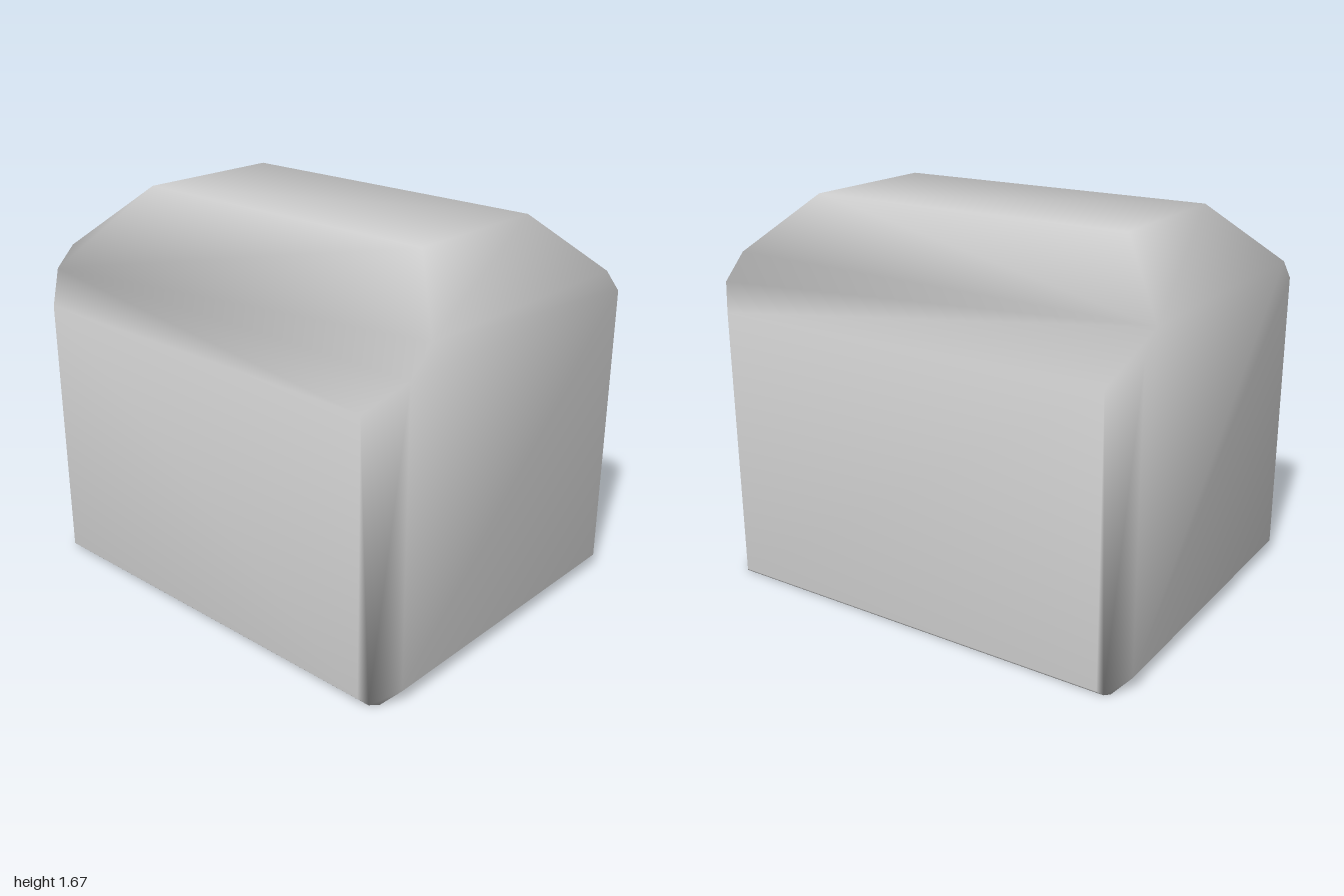
import * as THREE from 'three';

// Each plane is [nx, ny, nz, d]: the solid keeps nx*x + ny*y + nz*z <= d
const PLANES = [
  // main faces: sides, top, bottom, front, back
  [1, 0, 0, 1], [-1, 0, 0, 1], [0, 1, 0, 1.67], [0, -1, 0, 0], [0, 0, 1, 0.8], [0, 0, -1, 0.8],
  // wide bevels round the top
  [1, 1, 0, 2.43], [-1, 1, 0, 2.41], [0, 1, 1, 2.0], [0, 1, -1, 2.02],
  // narrow bevels down the upright edges
  [1, 0, 1, 1.68], [-1, 0, 1, 1.68], [1, 0, -1, 1.7], [-1, 0, -1, 1.7],
  // thin bevels round the base
  [1, -1, 0, 0.94], [-1, -1, 0, 0.94], [0, -1, 1, 0.77], [0, -1, -1, 0.78],
].map(([x, y, z, d]) => {
  const n = new THREE.Vector3(x, y, z);
  const len = n.length();
  return { n: n.divideScalar(len), d: d / len };
});

// Corners of the solid: points where three planes meet and no plane cuts them off
function findCorners(planes) {
  const corners = [];
  for (let i = 0; i < planes.length; i++)
    for (let j = i + 1; j < planes.length; j++)
      for (let k = j + 1; k < planes.length; k++) {
        const [a, b, c] = [planes[i], planes[j], planes[k]];
        const bc = b.n.clone().cross(c.n);
        const det = a.n.dot(bc);
        if (Math.abs(det) < 1e-6) continue;
        const p = bc.multiplyScalar(a.d)
          .addScaledVector(c.n.clone().cross(a.n), b.d)
          .addScaledVector(a.n.clone().cross(b.n), c.d)
          .divideScalar(det);
        if (planes.some((q) => q.n.dot(p) > q.d + 1e-5)) continue;
        if (!corners.some((q) => q.distanceTo(p) < 1e-4)) corners.push(p);
      }
  return corners;
}

// Fan-fills every face and blends the normals at each corner by face area
function bevelledSolid(planes) {
  const corners = findCorners(planes);
  const normals = corners.map(() => new THREE.Vector3());
  const index = [];
  for (const { n, d } of planes) {
    const ring = corners.map((_, i) => i).filter((i) => Math.abs(n.dot(corners[i]) - d) < 1e-4);
    if (ring.length < 3) continue;
    const centre = new THREE.Vector3();
    ring.forEach((i) => centre.addScaledVector(corners[i], 1 / ring.length));
    const u = corners[ring[0]].clone().sub(centre).normalize();
    const v = n.clone().cross(u);
    const angle = (i) => {
      const r = corners[i].clone().sub(centre);
      return Math.atan2(r.dot(v), r.dot(u));
    };
    ring.sort((a, b) => angle(a) - angle(b));
    let area = 0;
    for (let i = 1; i < ring.length - 1; i++) {
      const [a, b, c] = [ring[0], ring[i], ring[i + 1]];
      index.push(a, b, c);
      area += new THREE.Triangle(corners[a], corners[b], corners[c]).getArea();
    }
    ring.forEach((i) => normals[i].addScaledVector(n, area));
  }
  normals.forEach((n) => n.normalize());
  const geometry = new THREE.BufferGeometry().setFromPoints(corners);
  geometry.setAttribute('normal', new THREE.Float32BufferAttribute(normals.flatMap((n) => n.toArray()), 3));
  geometry.setIndex(index);
  return geometry;
}

export function createModel() {
  const model = new THREE.Group();
  model.name = 'bevelledBlock';
  const block = new THREE.Mesh(bevelledSolid(PLANES), new THREE.MeshStandardMaterial({ color: 0xcccccc }));
  block.name = 'block';
  model.add(block);
  return model;
}
